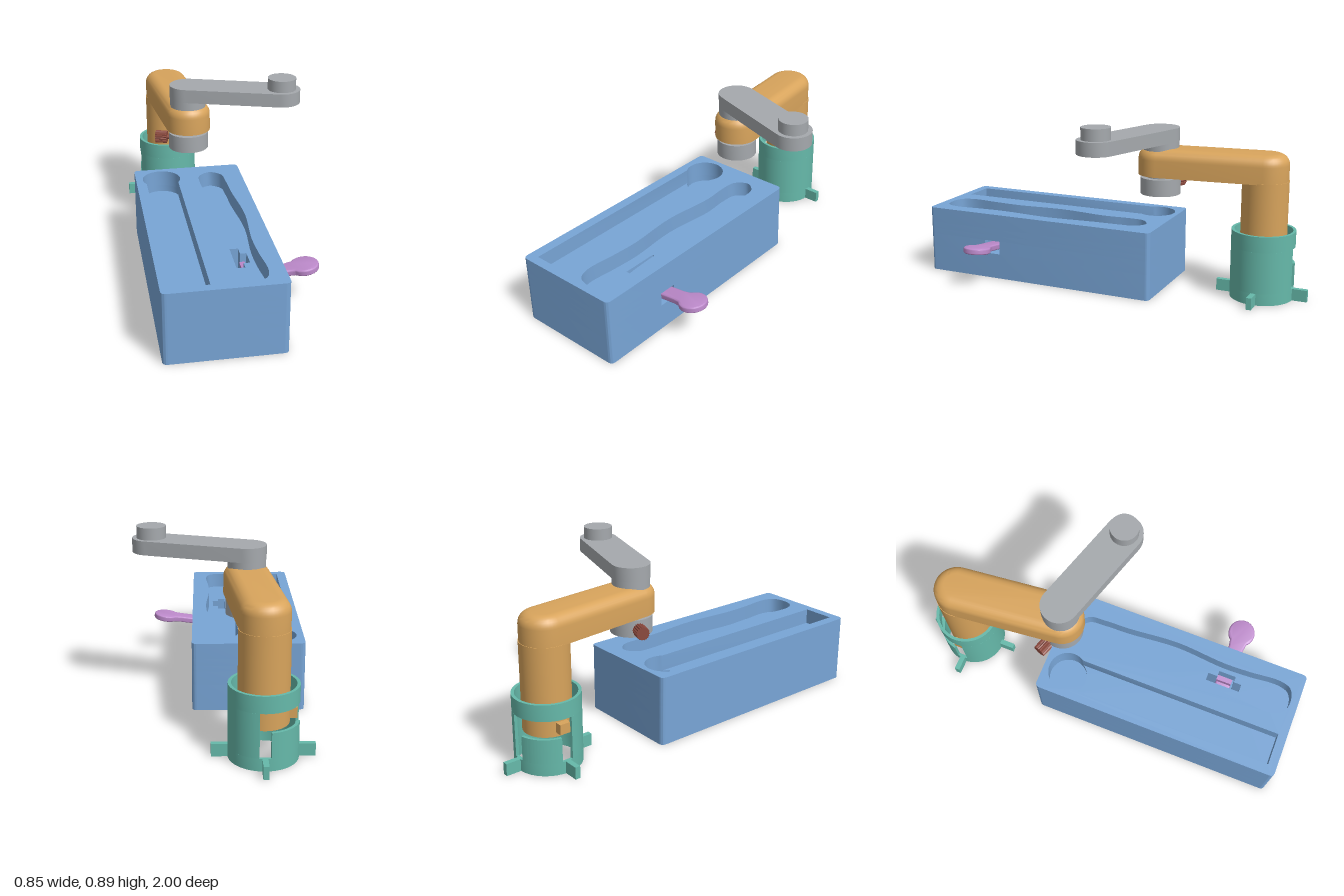
import * as THREE from 'three';
import { toCreasedNormals } from 'three/addons/utils/BufferGeometryUtils.js';

const mat = (name, color) => Object.assign(new THREE.MeshStandardMaterial({ color }), { name });

export function createModel() {
  const root = new THREE.Group();
  root.name = 'modelKit';
  const blue = mat('boxBlue', 0x78a5d6);
  const gold = mat('armGold', 0xd8a45c);
  const grey = mat('crankGrey', 0xa5a9ad);
  const teal = mat('socketTeal', 0x66b9aa);
  const red = mat('screwRed', 0x8c4a3e);
  const violet = mat('leverViolet', 0xbd8acb);

  const add = (name, geo, material, parent = root) => {
    const m = new THREE.Mesh(geo, material);
    m.name = name;
    parent.add(m);
    return m;
  };
  // Extrudes an (x, z) outline between two heights
  const prism = (shape, y0, y1) => {
    const g = new THREE.ExtrudeGeometry(shape, { depth: y1 - y0, bevelEnabled: false, curveSegments: 20 });
    g.rotateX(Math.PI / 2).translate(0, y1, 0);
    return toCreasedNormals(g, 0.6);
  };
  const cylinder = (name, r, y0, y1, x, z, material) => {
    const m = add(name, new THREE.CylinderGeometry(r, r, y1 - y0, 40), material);
    m.position.set(x, (y0 + y1) / 2, z);
    return m;
  };
  const poly = (pts) => pts.map(([x, z]) => new THREE.Vector2(x, z));
  // Stadium outline of radius r around two centres
  const stadium = (a, b, r, n = 20) => {
    const dir = Math.atan2(b[1] - a[1], b[0] - a[0]);
    const pts = [];
    [[b, dir - Math.PI / 2], [a, dir + Math.PI / 2]].forEach(([c, start]) => {
      for (let i = 0; i <= n; i++) {
        const t = start + (Math.PI * i) / n;
        pts.push([c[0] + r * Math.cos(t), c[1] + r * Math.sin(t)]);
      }
    });
    return pts;
  };

  // --- Storage box, stacked in layers so that pockets and slots are real ---
  const X0 = -0.425, X1 = 0.132, Z0 = -0.28, Z1 = 1, R = 0.025;
  const slot = [[-0.05, 0.52], [-0.01, 0.52], [-0.01, 0.57], [0.02, 0.57], [0.02, 0.66],
    [-0.01, 0.66], [-0.01, 0.7], [-0.05, 0.7]];
  const bottomSlot = [[-0.05, 0.52], [-0.01, 0.52], [-0.01, 0.7], [-0.05, 0.7]];
  const sideNotch = [[X1, 0.57], [-0.01, 0.57], [-0.01, 0.52], [-0.05, 0.52], [-0.05, 0.7],
    [-0.01, 0.7], [-0.01, 0.66], [X1, 0.66]];
  const boxLayer = (y0, y1, holes, notch = []) => {
    const s = new THREE.Shape();
    s.moveTo(X0 + R, Z0);
    s.lineTo(X1 - R, Z0);
    s.quadraticCurveTo(X1, Z0, X1, Z0 + R);
    notch.forEach(([x, z]) => s.lineTo(x, z));
    s.lineTo(X1, Z1 - R);
    s.quadraticCurveTo(X1, Z1, X1 - R, Z1);
    s.lineTo(X0 + R, Z1);
    s.quadraticCurveTo(X0, Z1, X0, Z1 - R);
    s.lineTo(X0, Z0 + R);
    s.quadraticCurveTo(X0, Z0, X0 + R, Z0);
    holes.forEach((h) => s.holes.push(new THREE.Path(poly(h))));
    add('storageBox', prism(s, y0, y1), blue);
  };
  // Round pocket, and the same pocket joined with the long straight one
  const cx = -0.292, cz = -0.155, cr = 0.098, half = 0.082;
  const roundPocket = stadium([cx, cz], [cx, cz + 1e-4], cr);
  const open = Math.asin(half / cr);
  const keyPocket = [[cx - half, 0.955], [cx + half, 0.955]];
  for (let i = 0; i <= 32; i++) {
    const t = Math.PI / 2 - open - ((2 * Math.PI - 2 * open) * i) / 32;
    keyPocket.push([cx + cr * Math.cos(t), cz + cr * Math.sin(t)]);
  }
  // Wavy pocket shaped like a handle
  const handlePocket = new THREE.CatmullRomCurve3([
    [-0.03, 0.96], [0.035, 0.94], [0.057, 0.88], [0.046, 0.72], [0.042, 0.58], [0.06, 0.32],
    [0.04, 0.06], [0.035, -0.08], [0.025, -0.16], [-0.03, -0.2], [-0.09, -0.16], [-0.1, -0.08],
    [-0.093, 0.06], [-0.12, 0.32], [-0.103, 0.58], [-0.11, 0.72], [-0.121, 0.88], [-0.095, 0.94],
  ].map(([x, z]) => new THREE.Vector3(x, 0, z)), true).getPoints(90).slice(0, -1).map((p) => [p.x, p.z]);

  boxLayer(0, 0.135, [bottomSlot]);
  boxLayer(0.135, 0.205, [], sideNotch);
  boxLayer(0.205, 0.235, [slot]);
  boxLayer(0.235, 0.27, [slot, roundPocket]);
  boxLayer(0.27, 0.35, [handlePocket, keyPocket]);

  // --- Thumb lever through the side of the box ---
  const lever = new THREE.Group();
  lever.name = 'lever';
  lever.position.set(X1, 0.178, 0.61);
  lever.rotation.z = 0.13;
  root.add(lever);
  const b = 0.01, pr = 0.07 - b, hw = 0.04 - b, a0 = Math.PI - Math.asin(hw / pr) * 1.25;
  const paddle = [[-0.17, hw], [-0.17, -hw], [0.07, -hw]];
  for (let i = 0; i <= 28; i++) {
    const t = -a0 + (2 * a0 * i) / 28;
    paddle.push([0.157 + pr * Math.cos(t), pr * Math.sin(t)]);
  }
  paddle.push([0.07, hw]);
  const lg = new THREE.ExtrudeGeometry(new THREE.Shape(poly(paddle)),
    { depth: 0.012, bevelThickness: 0.01, bevelSize: b, bevelSegments: 4 });
  lg.rotateX(Math.PI / 2).translate(0, 0.006, 0);
  add('leverPaddle', toCreasedNormals(lg, 0.7), violet, lever);
  add('leverTab', new THREE.BoxGeometry(0.025, 0.06, 0.08), violet, lever).position.set(-0.125, 0.035, 0);

  // --- Socket ring with a bayonet window towards the back ---
  const px = -0.19, pz = -0.768;
  const ringPart = (a, c, y0, y1) => {
    const s = new THREE.Shape();
    s.absarc(0, 0, 0.16, a, c, false);
    if (c - a > 6.28) {
      s.holes.push(new THREE.Path().absarc(0, 0, 0.145, 0, Math.PI * 2, true));
    } else {
      s.absarc(0, 0, 0.145, c, a, true);
      s.closePath();
    }
    add('socketRing', prism(s, y0, y1), teal).position.set(px, 0, pz);
  };
  const gap = 0.17, P = Math.PI;
  ringPart(0, 2 * P, 0, 0.06);
  ringPart(1.5 * P + gap, 3 * P - gap, 0.06, 0.27);
  ringPart(P + gap, 1.5 * P - gap, 0.06, 0.18);
  ringPart(0, 2 * P, 0.27, 0.35);
  // Four feet around the ring
  for (let i = 0; i < 4; i++) {
    const foot = new THREE.Group();
    foot.name = 'socketFoot';
    foot.position.set(px, 0.03, pz);
    foot.rotation.y = (i * P) / 2;
    root.add(foot);
    add('footTab', new THREE.BoxGeometry(0.084, 0.06, 0.026), teal, foot).position.x = 0.192;
  }

  // --- Post and rounded arm ---
  cylinder('post', 0.116, 0.17, 0.6, px, pz, gold);
  const peg = add('lockPeg', new THREE.BoxGeometry(0.05, 0.05, 0.055), gold);
  peg.position.set(px - 0.122, 0.215, pz);

  const end = [-0.135, -0.235];
  const rings = [[0.595, 0.113]];
  for (let i = 0; i <= 8; i++) {
    const t = (i / 8) * (P / 2);
    rings.push([0.68 + 0.055 * Math.sin(t), 0.058 + 0.055 * Math.cos(t)]);
  }
  const pos = [], idx = [];
  rings.forEach(([y, r]) => stadium([px, pz], end, r).forEach(([x, z]) => pos.push(x, y, z)));
  const n = pos.length / 3 / rings.length;
  for (let k = 0; k < rings.length - 1; k++) {
    for (let i = 0; i < n; i++) {
      const a = k * n + i, c = k * n + ((i + 1) % n);
      idx.push(a, a + n, c, c, a + n, c + n);
    }
  }
  const last = (rings.length - 1) * n;
  for (let i = 1; i < n - 1; i++) {
    idx.push(0, i, i + 1, last, last + i + 1, last + i);
  }
  const ag = new THREE.BufferGeometry();
  ag.setAttribute('position', new THREE.Float32BufferAttribute(pos, 3));
  ag.setIndex(idx);
  add('arm', toCreasedNormals(ag, 0.6), gold);

  // --- Crank above the arm ---
  const grip = [0.327, -0.087];
  cylinder('crankHub', 0.092, 0.72, 0.77, end[0], end[1], grey);
  add('crankArm', prism(new THREE.Shape(poly(stadium(end, grip, 0.094))), 0.767, 0.836), grey);
  cylinder('crankKnob', 0.072, 0.83, 0.895, grip[0], grip[1], grey);

  // --- Chuck below the arm, an open cup ---
  cylinder('chuckNeck', 0.072, 0.575, 0.6, end[0], end[1], grey);
  const cup = [[0, 0.56], [0.09, 0.56], [0.09, 0.495], [0.103, 0.495], [0.103, 0.58], [0, 0.58]];
  const cupGeo = toCreasedNormals(new THREE.LatheGeometry(poly(cup), 40), 0.6);
  add('chuckCup', cupGeo, grey).position.set(end[0], 0, end[1]);

  // --- Ribbed thumb screw on the chuck ---
  const screw = new THREE.Group();
  screw.name = 'thumbScrew';
  screw.position.set(end[0], 0.538, end[1]);
  screw.rotation.y = P - 0.34;
  root.add(screw);
  const knurl = new THREE.Shape();
  for (let i = 0; i < 36; i++) {
    const r = i % 2 ? 0.029 : 0.033, t = (i / 36) * 2 * P;
    knurl[i ? 'lineTo' : 'moveTo'](r * Math.cos(t), r * Math.sin(t));
  }
  const head = new THREE.ExtrudeGeometry(knurl, { depth: 0.06, bevelEnabled: false });
  head.rotateY(P / 2).translate(0.115, 0, 0);
  add('screwHead', head, red, screw);
  const shaft = new THREE.CylinderGeometry(0.012, 0.012, 0.03, 16).rotateZ(P / 2).translate(0.105, 0, 0);
  add('screwShaft', shaft, red, screw);

  return root;
}
